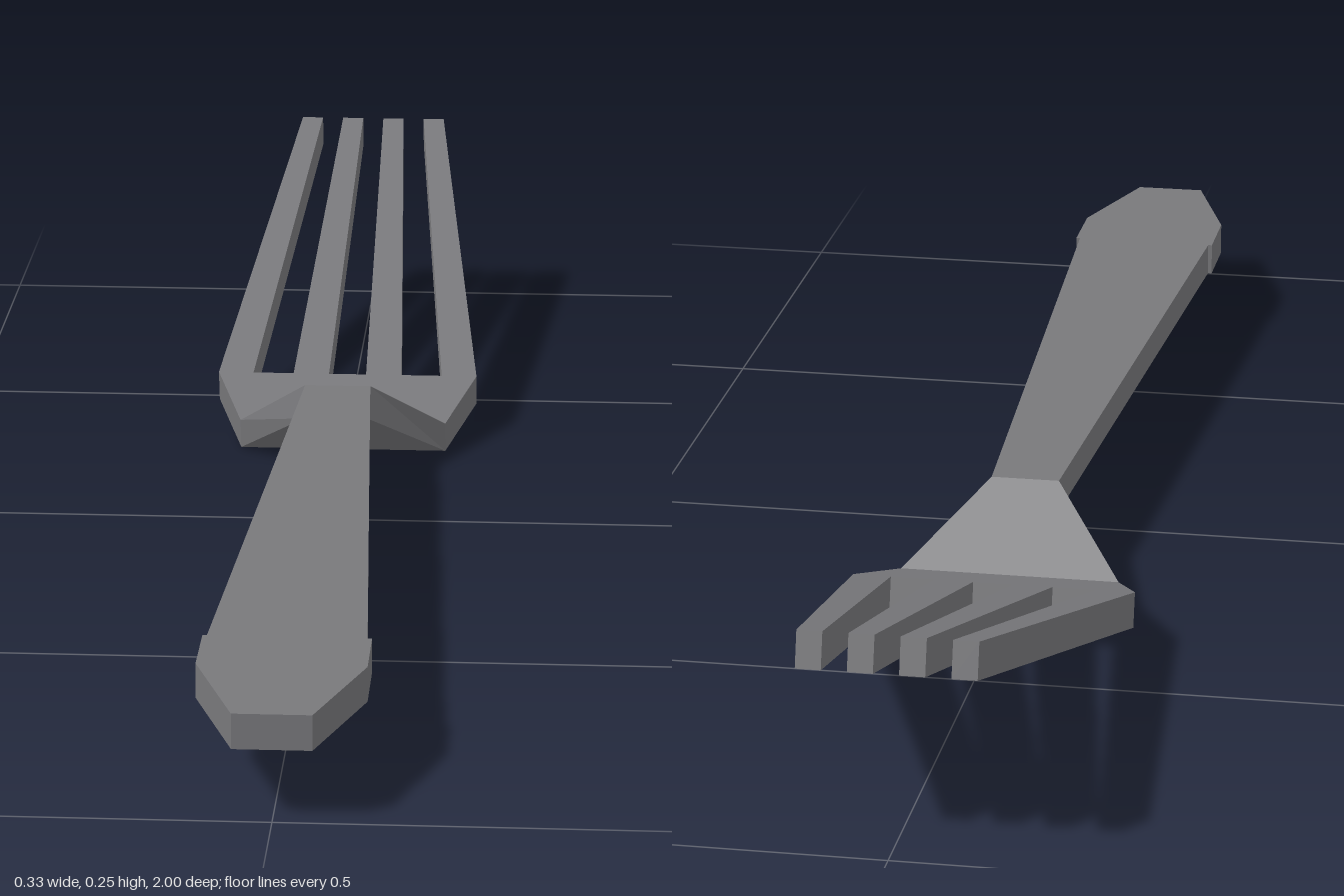
import * as THREE from 'three';

// Lofts a flat bar through stations running from front (+z) to back (-z).
// station: [xMin, xMax, topZ, topY, bottomZ, bottomY]
function bar(name, stations, material) {
  const pos = [];
  const rings = stations.map(([a, b, tz, ty, bz, by]) => [
    [a, by, bz], [b, by, bz], [b, ty, tz], [a, ty, tz],
  ]);
  const quad = (a, b, c, d) => pos.push(...a, ...b, ...c, ...a, ...c, ...d);
  for (let i = 0; i < rings.length - 1; i++) {
    const f = rings[i], g = rings[i + 1];
    for (let k = 0; k < 4; k++) {
      const n = (k + 1) % 4;
      quad(f[n], f[k], g[k], g[n]);
    }
  }
  const f = rings[0], g = rings[rings.length - 1];
  quad(f[0], f[1], f[2], f[3]);
  quad(g[1], g[0], g[3], g[2]);
  const geometry = new THREE.BufferGeometry();
  geometry.setAttribute('position', new THREE.Float32BufferAttribute(pos, 3));
  geometry.computeVertexNormals();
  const mesh = new THREE.Mesh(geometry, material);
  mesh.name = name;
  return mesh;
}

export function createModel() {
  const steel = new THREE.MeshStandardMaterial({ color: 0x78787b, flatShading: true });
  steel.name = 'darkSteel';
  const group = new THREE.Group();
  group.name = 'fork';

  // Level handle stations, and head stations on the rising slope
  const level = (w, z) => [-w, w, z, 0.123, z, 0.083];
  const slope = (a, b, z) => {
    const y = 0.041 + (-0.27 - z) * 0.298;
    return [a, b, z, y, z - 0.011, y - 0.04];
  };
  const neckTop = [-0.041, 0.041, -0.162, 0.123, -0.15, 0.083];

  // Handle with its slightly wider tapered end
  group.add(bar('handleEnd', [level(0.043, 1), level(0.093, 0.85), level(0.093, 0.76)], steel));
  group.add(bar('handle', [level(0.088, 0.76), neckTop], steel));

  // Neck dropping to the head, then the flared head
  const headStart = slope(-0.131, 0.131, -0.27);
  group.add(bar('neck', [neckTop, headStart], steel));
  group.add(bar('head', [headStart, slope(-0.167, 0.167, -0.375)], steel));

  // Four converging tines: inner and outer edges at root and tip
  const tines = [
    ['outerTine', 0.122, 0.167, 0.07, 0.098],
    ['innerTine', 0.024, 0.07, 0.014, 0.042],
  ];
  for (const [name, r0, r1, t0, t1] of tines) {
    group.add(bar(name + 'Left', [slope(r0, r1, -0.375), slope(t0, t1, -0.989)], steel));
    group.add(bar(name + 'Right', [slope(-r1, -r0, -0.375), slope(-t1, -t0, -0.989)], steel));
  }
  return group;
}
